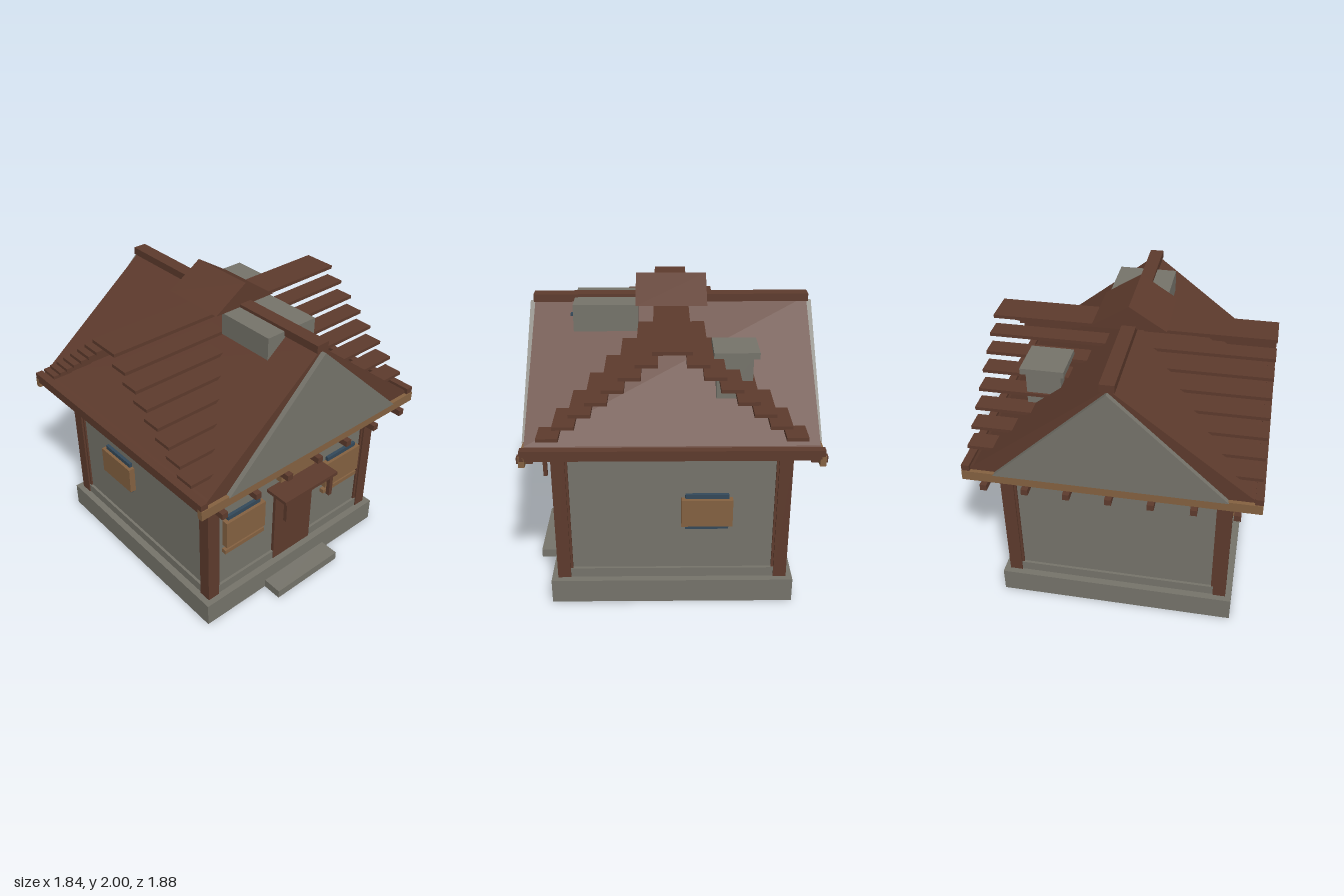
import * as THREE from 'three';

export function createModel() {
  const model = new THREE.Group();
  model.name = 'cabin';
  const mat = (name, color) => {
    const m = new THREE.MeshStandardMaterial({ color });
    m.name = name;
    return m;
  };
  const stone = mat('stone', 0x76746b);
  const wood = mat('darkWood', 0x5e3b2d);
  const tan = mat('lightWood', 0x856241);
  const glass = mat('blueGlass', 0x34495a);

  const add = (name, geometry, material, parent = model) => {
    const mesh = new THREE.Mesh(geometry, material);
    mesh.name = name;
    parent.add(mesh);
    return mesh;
  };
  // Box given by its limits on each axis
  const box = (name, material, x0, x1, y0, y1, z0, z1, parent) => {
    const g = new THREE.BoxGeometry(x1 - x0, y1 - y0, z1 - z0);
    g.translate((x0 + x1) / 2, (y0 + y1) / 2, (z0 + z1) / 2);
    return add(name, g, material, parent);
  };
  // Profile in x, y extruded along z
  const prism = (name, material, points, z0, z1) => {
    const shape = new THREE.Shape(points.map(p => new THREE.Vector2(...p)));
    const g = new THREE.ExtrudeGeometry(shape, { depth: z1 - z0, bevelEnabled: false });
    g.translate(0, 0, z0);
    return add(name, g, material);
  };
  const sides = [-1, 1];

  // Foundation, step, walls and wall footing
  box('foundation', stone, -0.785, 0.785, 0, 0.165, -0.785, 0.785);
  box('frontStep', stone, -0.28, 0.28, 0, 0.06, 0.78, 0.92);
  box('walls', stone, -0.72, 0.72, 0.16, 1.09, -0.72, 0.72);
  box('footingAcross', stone, -0.66, 0.66, 0.165, 0.23, -0.738, 0.738);
  box('footingAlong', stone, -0.738, 0.738, 0.165, 0.23, -0.66, 0.66);

  // Corner posts with narrow inner battens
  for (const sx of sides) for (const sz of sides) {
    const post = new THREE.Group();
    post.name = 'cornerPost';
    post.position.set(sx * 0.7025, 0.6225, sz * 0.7025);
    model.add(post);
    box('postCore', wood, -0.0425, 0.0425, -0.4575, 0.4575, -0.0425, 0.0425, post);
    const ix = -sx * 0.05, iz = -sz * 0.05;
    box('postBattenFront', wood, ix - 0.0075, ix + 0.0075, -0.4575, 0.4575, -0.03, 0.03, post);
    box('postBattenSide', wood, -0.03, 0.03, -0.4575, 0.4575, iz - 0.0075, iz + 0.0075, post);
  }
  box('topPlate', wood, -0.745, 0.745, 1.08, 1.125, -0.745, 0.745);

  // Main roof, ridge cap, gables and eaves
  prism('mainRoof', wood, [[-0.88, 1.12], [0.88, 1.12], [0.88, 1.16], [0.845, 1.18], [0, 1.84],
    [-0.845, 1.18], [-0.88, 1.16]], -0.88, 0.88);
  prism('gable', stone, [[-0.72, 1.14], [0.72, 1.14], [0, 1.82]], -0.913, 0.913);
  box('ridgeCap', wood, -0.045, 0.045, 1.82, 1.87, -0.887, 0.887);
  for (const s of sides) {
    const ex = s * 0.895, fz = s * 0.888;
    box('eaveBeam', wood, ex - 0.025, ex + 0.025, 1.12, 1.185, -0.9, 0.9);
    box('gableFascia', tan, -0.92, 0.92, 1.08, 1.145, fz - 0.018, fz + 0.018);
    for (let i = -3; i <= 3; i++) {
      const x = i * 0.259, z = s * 0.892;
      box('joistEnd', wood, x - 0.021, x + 0.021, 1.04, 1.081, z - 0.05, z + 0.05);
    }
  }

  // Stepped cross slats that pass through the roof
  for (let i = 0; i < 8; i++) {
    const y = 1.787 - i * 0.0767;
    if (i === 0) {
      box('crossSlat', wood, -0.905, 0.905, y - 0.011, y + 0.011, -0.113, 0.113);
      continue;
    }
    for (const s of sides) {
      const z = s * (0.048 + i * 0.0978);
      box('crossSlat', wood, -0.905, 0.905, y - 0.011, y + 0.011, z - 0.065, z + 0.065);
    }
  }

  // Ridge cupola, stone roof box with its small light, and chimney
  prism('cupolaRoof', wood, [[-0.235, 1.85], [0.235, 1.85], [0, 2]], -0.225, 0.225);
  box('roofBox', stone, -0.175, 0.21, 1.6, 1.85, 0.21, 0.62);
  box('roofBoxLight', glass, 0.09, 0.118, 1.738, 1.766, 0.615, 0.645);
  box('chimney', stone, 0.375, 0.595, 1.3, 1.65, -0.49, -0.27);
  box('chimneyCap', stone, 0.345, 0.62, 1.64, 1.68, -0.525, -0.25);

  // Shuttered windows, built facing +z and then turned to their wall
  const windowUnit = (name, w, h, paneW, paneH, position, turn, sill) => {
    const unit = new THREE.Group();
    unit.name = name;
    unit.position.set(...position);
    unit.rotation.y = turn;
    model.add(unit);
    box('pane', glass, -paneW / 2, paneW / 2, -paneH / 2, paneH / 2, -0.01, 0.022, unit);
    box('shutters', tan, -w / 2, w / 2, -h / 2, h / 2, -0.01, 0.043, unit);
    if (sill) box('sill', tan, -0.167, 0.167, -0.16, -0.13, -0.01, 0.033, unit);
  };
  for (const s of sides) {
    windowUnit('frontWindow', 0.325, 0.205, 0.27, 0.265, [s * 0.445, 0.66, 0.72], 0, true);
    windowUnit('sideWindow', 0.325, 0.19, 0.275, 0.25, [s * 0.72, 0.658, -0.22], s * Math.PI / 2, false);
  }
  windowUnit('upperWindow', 0.305, 0.16, 0.25, 0.21, [0, 0.923, 0.72], 0, false);

  // Door, lintel and bracketed canopy
  box('door', wood, -0.172, 0.172, 0.165, 0.73, 0.7, 0.742);
  box('doorLintel', tan, -0.185, 0.185, 0.73, 0.778, 0.7, 0.748);
  box('doorCanopy', wood, -0.235, 0.235, 0.786, 0.81, 0.715, 0.895);
  for (const s of sides) {
    box('canopyBracket', wood, s * 0.197 - 0.014, s * 0.197 + 0.014, 0.625, 0.788, 0.855, 0.882);
  }
  return model;
}
